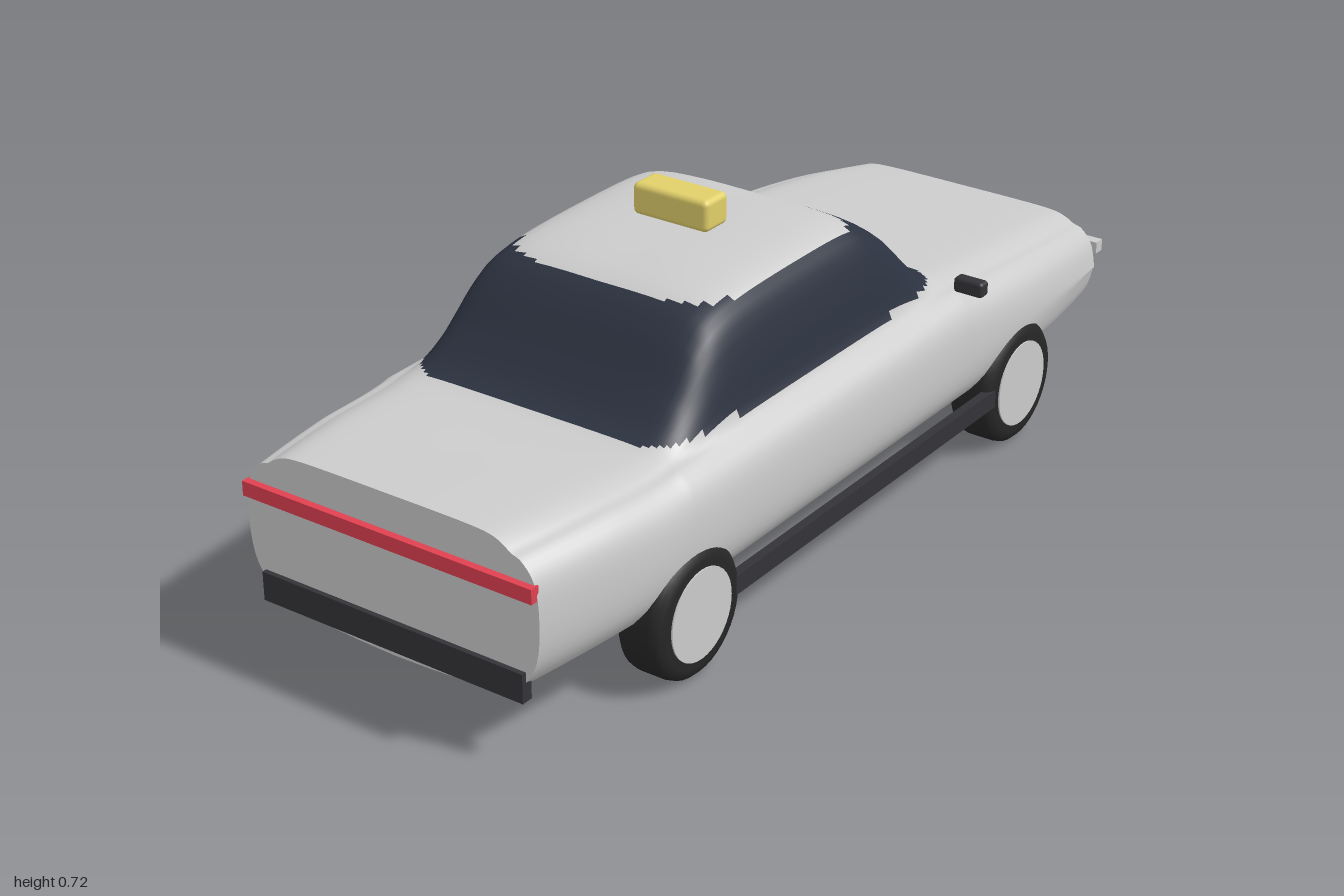
import * as THREE from 'three';
import { RoundedBoxGeometry } from 'three/addons/geometries/RoundedBoxGeometry.js';

const mat = (color, side = THREE.FrontSide) => new THREE.MeshStandardMaterial({ color, side });
const GREY = mat(0xcccccc), TRIM = mat(0x343237), TYRE = mat(0x262626);
const GLASS = mat(0x2c3240), RED = mat(0xe04050), YELLOW = mat(0xe0cf6a);
const smooth = THREE.MathUtils.smoothstep;
const V = (x, y) => new THREE.Vector2(x, y);

// Side profile of the upper line, tail to nose: (z, y)
const topLine = new THREE.SplineCurve([
  [0.985, 0.442], [0.8, 0.436], [0.64, 0.43], [0.56, 0.443], [0.49, 0.5], [0.42, 0.58],
  [0.36, 0.622], [0.26, 0.64], [0.08, 0.645], [-0.08, 0.641], [-0.15, 0.62], [-0.22, 0.572],
  [-0.29, 0.495], [-0.34, 0.448], [-0.42, 0.427], [-0.6, 0.409], [-0.8, 0.385], [-0.975, 0.355],
].map(p => V(...p)));

const HALF = 40, RING = HALF * 2, ROWS = 150;

// Cross-section at one station, clockwise from the top centre
function section(z, top) {
  const w = 1 - 0.12 * Math.max(0, (Math.abs(z) - 0.5) / 0.48) ** 2;
  const belt = Math.min(0.41, top - 0.025), h = top - belt;
  const half = [
    [0, top], [0.12, top], [0.22, belt + 0.96 * h], [0.27, belt + 0.83 * h], [0.3, belt + 0.5 * h],
    [0.32, belt + 0.12 * h], [0.345, belt - 0.005], [0.373, belt - 0.035], [0.385, belt - 0.085],
    [0.383, 0.24], [0.36, 0.18], [0.3, 0.133], [0.15, 0.115], [0, 0.11],
  ].map(([x, y]) => V(x * w, y));
  // The right flank is drawn in between the wheels
  const pinch = smooth(z, -0.45, -0.2) * (1 - smooth(z, -0.05, 0.45));
  const a = half[6], b = half[13];
  const flank = half.map((p, i) => i < 7 ? p.clone()
    : p.clone().lerp(a.clone().lerp(b, (i - 6) / 7), pinch));
  const right = new THREE.SplineCurve(half), left = new THREE.SplineCurve(flank);
  const pts = [];
  for (let j = 0; j < HALF; j++) pts.push(right.getPoint(j / HALF));
  for (let j = HALF; j > 0; j--) {
    const p = left.getPoint(j / HALF);
    pts.push(V(-p.x, p.y));
  }
  return pts;
}

// Lofted shell split by face into paintwork and glass
function buildBody(group) {
  const pos = [], paint = [], glass = [], ends = [];
  for (let i = 0; i <= ROWS; i++) {
    const { x: z, y } = topLine.getPoint(i / ROWS);
    const ring = section(z, y);
    ring.forEach(p => pos.push(p.x, p.y, z));
    if (i === 0 || i === ROWS) ends.push({ ring, z });
  }
  for (let i = 0; i < ROWS; i++) {
    for (let j = 0; j < RING; j++) {
      const k = (j + 1) % RING;
      const a = i * RING + j, b = i * RING + k, c = a + RING, d = b + RING;
      const y = (pos[a * 3 + 1] + pos[d * 3 + 1]) / 2, z = (pos[a * 3 + 2] + pos[d * 3 + 2]) / 2;
      const isGlass = y > 0.434 && y < 0.619 && z < 0.58 && z > -0.38;
      (isGlass ? glass : paint).push(a, b, c, b, d, c);
    }
  }
  const shell = new THREE.BufferGeometry();
  shell.setAttribute('position', new THREE.Float32BufferAttribute(pos, 3));
  shell.setIndex([...paint, ...glass]);
  shell.computeVertexNormals();
  const windows = shell.clone();
  shell.setIndex(paint);
  windows.setIndex(glass);
  add(group, 'bodyShell', shell, GREY);
  add(group, 'windows', windows, GLASS);
  // Flat tail and nose panels
  ends.forEach(({ ring, z }, i) => {
    const panel = add(group, i ? 'nosePanel' : 'tailPanel', new THREE.ShapeGeometry(new THREE.Shape(ring)), GREY, 0, 0, z);
    panel.rotation.y = i * Math.PI;
  });
}

function add(group, name, geometry, material, x = 0, y = 0, z = 0) {
  const mesh = new THREE.Mesh(geometry, material);
  mesh.name = name;
  mesh.position.set(x, y, z);
  group.add(mesh);
  return mesh;
}

// Wheel with its axle along x, outer face towards +x
function buildWheel() {
  const wheel = new THREE.Group();
  wheel.name = 'wheel';
  const profile = [[0, -0.05], [0.108, -0.05], [0.122, -0.047], [0.131, -0.038], [0.134, -0.025],
    [0.134, 0.025], [0.131, 0.038], [0.122, 0.047], [0.108, 0.05], [0, 0.05]].map(p => V(...p));
  add(wheel, 'tyre', new THREE.LatheGeometry(profile, 40), TYRE).rotation.z = -Math.PI / 2;
  add(wheel, 'hubDisc', new THREE.CylinderGeometry(0.093, 0.093, 0.01, 40), GREY, 0.048).rotation.z = -Math.PI / 2;
  return wheel;
}

export function createModel() {
  const car = new THREE.Group();
  car.name = 'taxi';
  buildBody(car);
  const box = (name, m, w, h, d, x, y, z) => add(car, name, new THREE.BoxGeometry(w, h, d), m, x, y, z);

  // Parts repeated on both sides
  for (const s of [1, -1]) {
    for (const z of [0.583, -0.575]) {
      const wheel = buildWheel();
      wheel.position.set(s * 0.34, 0.134, z);
      if (s < 0) wheel.rotation.y = Math.PI;
      car.add(wheel);
    }
    box('sill', TRIM, 0.02, 0.04, 0.94, s * 0.38, 0.14, 0);
    add(car, 'mirror', new RoundedBoxGeometry(0.067, 0.033, 0.03, 3, 0.008), TRIM, s * 0.398, 0.451, -0.335);
    box('headlight', GREY, 0.225, 0.026, 0.025, s * 0.23, 0.288, -0.9875);
  }

  // Tail and nose trim
  box('tailLightBar', RED, 0.67, 0.03, 0.02, 0, 0.352, 0.99);
  box('rearBumper', TRIM, 0.61, 0.06, 0.025, 0, 0.155, 0.983);
  box('grille', TRIM, 0.48, 0.065, 0.02, 0, 0.175, -0.975);

  // Roof sign
  add(car, 'roofSign', new RoundedBoxGeometry(0.178, 0.066, 0.074, 4, 0.012), YELLOW, 0, 0.688, 0.107);
  return car;
}
